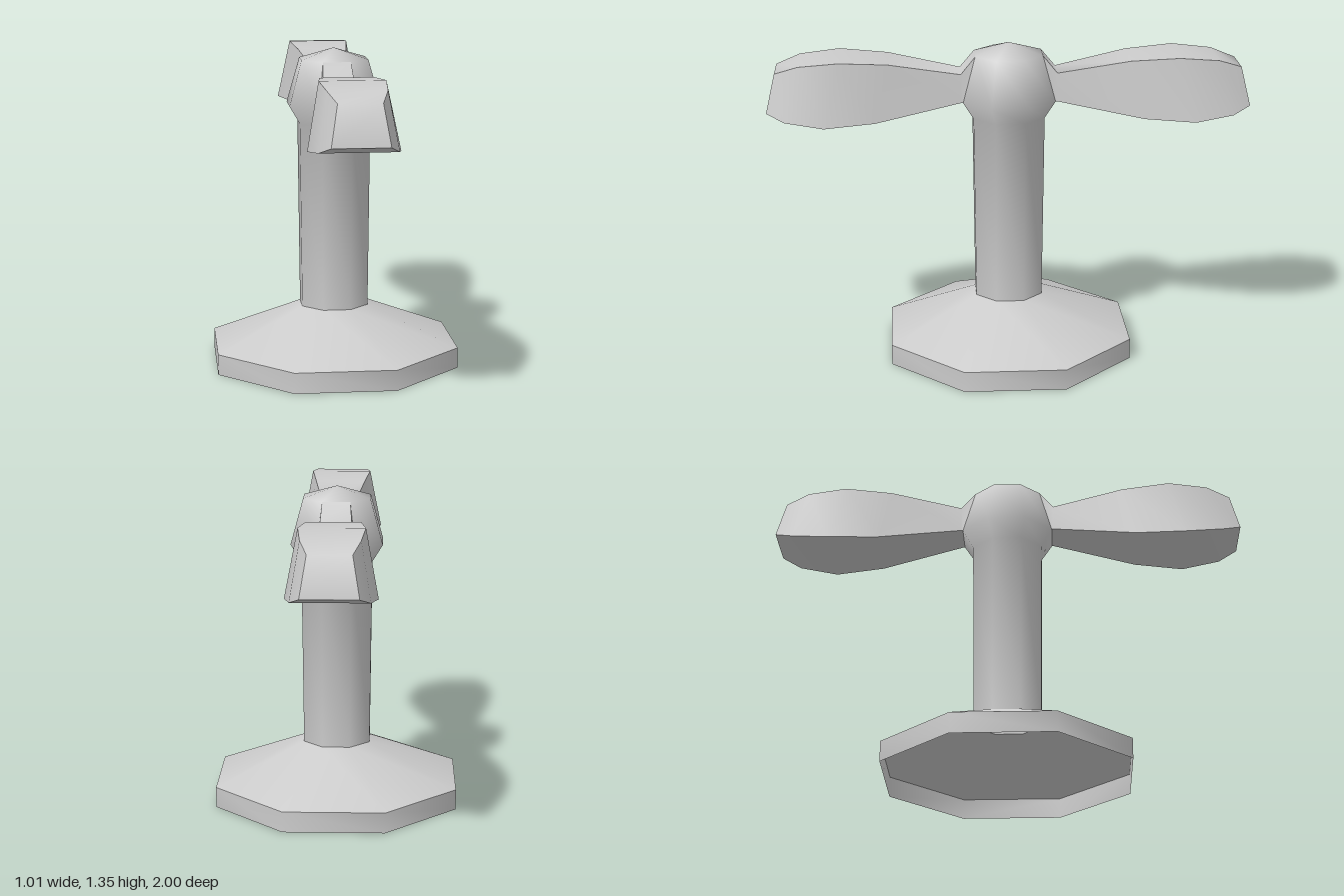
import * as THREE from 'three';
import { toCreasedNormals } from 'three/addons/utils/BufferGeometryUtils.js';

const CREASE = 1.1;
const SIDES = 8;
const material = new THREE.MeshStandardMaterial({ color: 0xcccccc, side: THREE.DoubleSide });

// Octagonal shell turned from [half width across flats, height] pairs.
function turned(name, profile) {
  const k = 1 / Math.cos(Math.PI / SIDES);
  const points = profile.map(([w, y]) => new THREE.Vector2(w * k, y));
  const geometry = new THREE.LatheGeometry(points, SIDES, Math.PI / SIDES);
  const mesh = new THREE.Mesh(toCreasedNormals(geometry, CREASE), material);
  mesh.name = name;
  return mesh;
}

// Each station: bottom edge [half width, y, z], then top edge [half width, y, z].
const stations = [
  [[0.08, 1.11, 0.19], [0.058, 1.3, 0.14]],
  [[0.08, 1.11, 0.2], [0.065, 1.227, 0.2]],
  [[0.15, 1.048, 0.555], [0.108, 1.284, 0.5]],
  [[0.18, 1.037, 0.765], [0.13, 1.298, 0.7]],
  [[0.153, 1.058, 0.925], [0.115, 1.282, 0.865]],
  [[0.112, 1.087, 1.0], [0.085, 1.247, 0.963]],
];

// Four-sided paddle lofted through the stations, closed at the tip.
function bladeGeometry() {
  const positions = [];
  const index = [];
  for (const [[bw, by, bz], [tw, ty, tz]] of stations) {
    positions.push(-bw, by, bz, bw, by, bz, tw, ty, tz, -tw, ty, tz);
  }
  for (let i = 0; i < stations.length - 1; i++) {
    for (let j = 0; j < 4; j++) {
      const a = i * 4 + j;
      const b = i * 4 + ((j + 1) % 4);
      index.push(a, b, b + 4, a, b + 4, a + 4);
    }
  }
  const tip = (stations.length - 1) * 4;
  index.push(tip, tip + 1, tip + 2, tip, tip + 2, tip + 3);
  const geometry = new THREE.BufferGeometry();
  geometry.setAttribute('position', new THREE.Float32BufferAttribute(positions, 3));
  geometry.setIndex(index);
  return toCreasedNormals(geometry, CREASE);
}

export function createModel() {
  const group = new THREE.Group();
  group.name = 'propellerPost';

  // Hollow foot, open underneath and into the column
  group.add(turned('base', [[0.507, 0], [0.507, 0.087], [0.14, 0.248]]));

  // Column flaring into the domed hub
  group.add(turned('columnAndHub', [
    [0.14, 0.248], [0.148, 1.035], [0.192, 1.11], [0.14, 1.3], [0, 1.346],
  ]));

  // Two opposite blades
  const geometry = bladeGeometry();
  ['frontBlade', 'backBlade'].forEach((name, i) => {
    const blade = new THREE.Mesh(geometry, material);
    blade.name = name;
    blade.rotation.y = i * Math.PI;
    group.add(blade);
  });

  return group;
}
